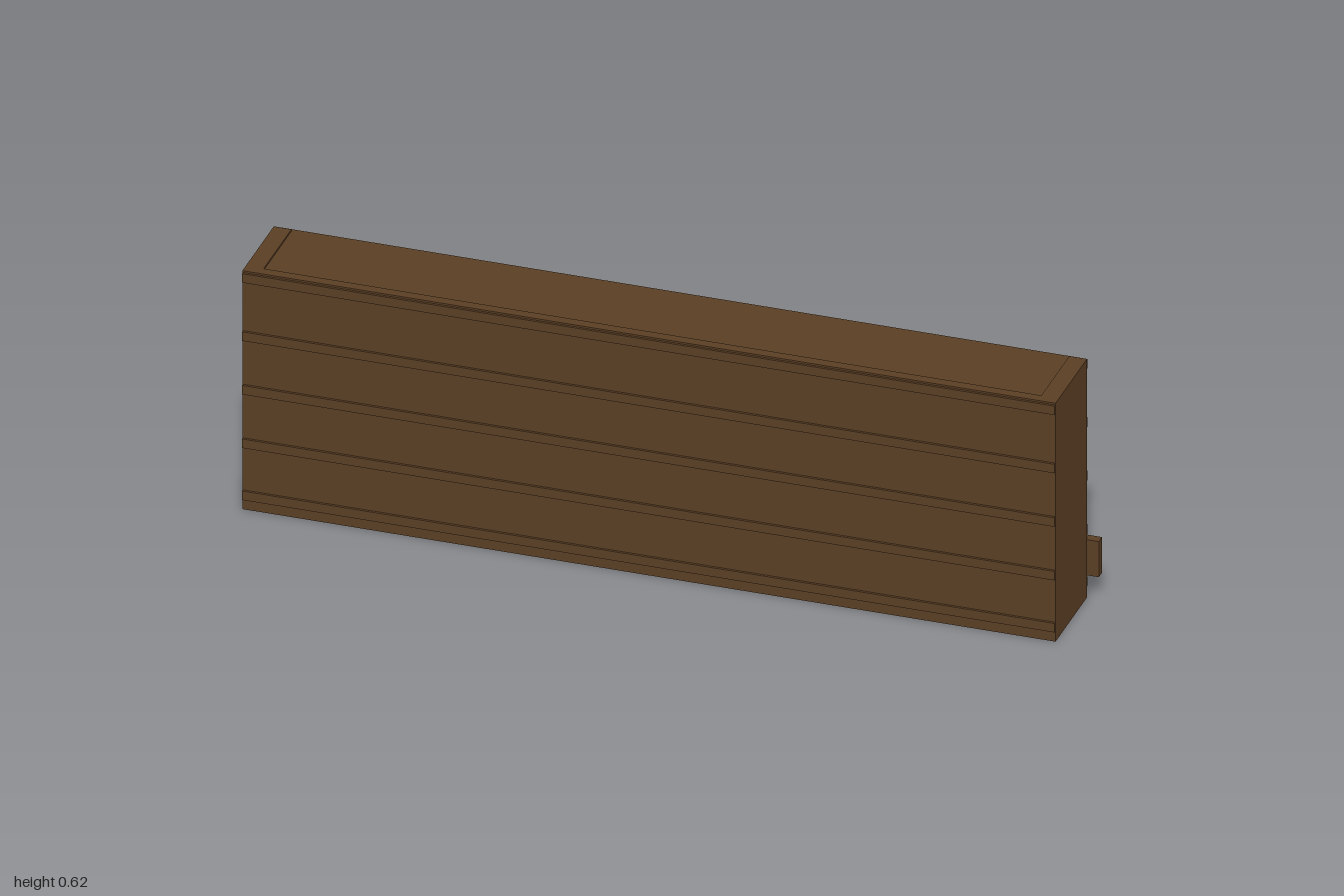
import * as THREE from 'three';

export function createModel() {
  const model = new THREE.Group();
  const mat = (name, color) => {
    const m = new THREE.MeshStandardMaterial({ color });
    m.name = name;
    return m;
  };
  const wood = mat('dark wood', 0x5a3e24);
  const brownGlass = mat('brown bottle', 0x6a4a2a);
  const blueGlass = mat('blue bottle', 0x0e3f86);
  const knobWood = mat('knob wood', 0x3c2917);

  // Box given by its minimum and maximum corners
  const box = (name, material, [x0, y0, z0], [x1, y1, z1]) => {
    const mesh = new THREE.Mesh(new THREE.BoxGeometry(x1 - x0, y1 - y0, z1 - z0), material);
    mesh.position.set((x0 + x1) / 2, (y0 + y1) / 2, (z0 + z1) / 2);
    mesh.name = name;
    model.add(mesh);
    return mesh;
  };

  // Carcass: two sides and the closed panel; the -z side stays open
  const L = -1, R = 0.97, H = 0.623, side = 0.043, back = -0.101, front = 0.123;
  box('rightSide', wood, [L, 0, back], [L + side, H, front]);
  box('leftSide', wood, [R - side, 0, back], [R, H, front]);
  box('closedPanel', wood, [L + side, 0, front - 0.025], [R - side, H, front]);

  // Shelves stick out slightly on both long faces
  for (const y of [0.027, 0.163, 0.303, 0.443, 0.595]) {
    box('shelf', wood, [L + 0.001, y, -0.109], [R - 0.001, y + 0.0235, 0.129]);
  }

  // Row of drawers with small knobs
  for (let i = 0; i < 13; i++) {
    const x = 0.929 - i * 0.1537;
    box('drawer', wood, [x - 0.071, 0.06, -0.12], [x + 0.071, 0.153, -0.097]);
    box('drawerKnob', knobWood, [x - 0.008, 0.108, -0.129], [x + 0.008, 0.117, -0.12]);
  }

  // Bottles in three repeating sizes
  const bottleGeometry = (r, h) => new THREE.LatheGeometry([
    [0, 0], [r * 0.85, 0], [r, h * 0.1], [r, h * 0.48], [r * 0.75, h * 0.6],
    [r * 0.34, h * 0.64], [r * 0.34, h * 0.86], [r * 0.46, h * 0.87], [r * 0.46, h], [0, h],
  ].map(([x, y]) => new THREE.Vector2(x, y)), 10).toNonIndexed();
  const sizes = [[0.020, 0.06], [0.018, 0.054], [0.022, 0.068]];
  const geometries = sizes.map(([r, h]) => {
    const g = bottleGeometry(r, h);
    g.computeVertexNormals();
    return g;
  });
  const blue = [0, 1, 8, 9, 10];
  const shelfTop = 0.1865;
  for (let i = 0; i < 14; i++) {
    const bottle = new THREE.Mesh(geometries[i % 3], blue.includes(i) ? blueGlass : brownGlass);
    bottle.name = 'bottle';
    bottle.position.set(0.537 - i * 0.1085, shelfTop, -0.02);
    // The first bottle lies on its side
    if (i === 0) {
      bottle.rotation.x = Math.PI / 2;
      bottle.position.y += sizes[0][0];
    }
    model.add(bottle);
  }
  return model;
}
